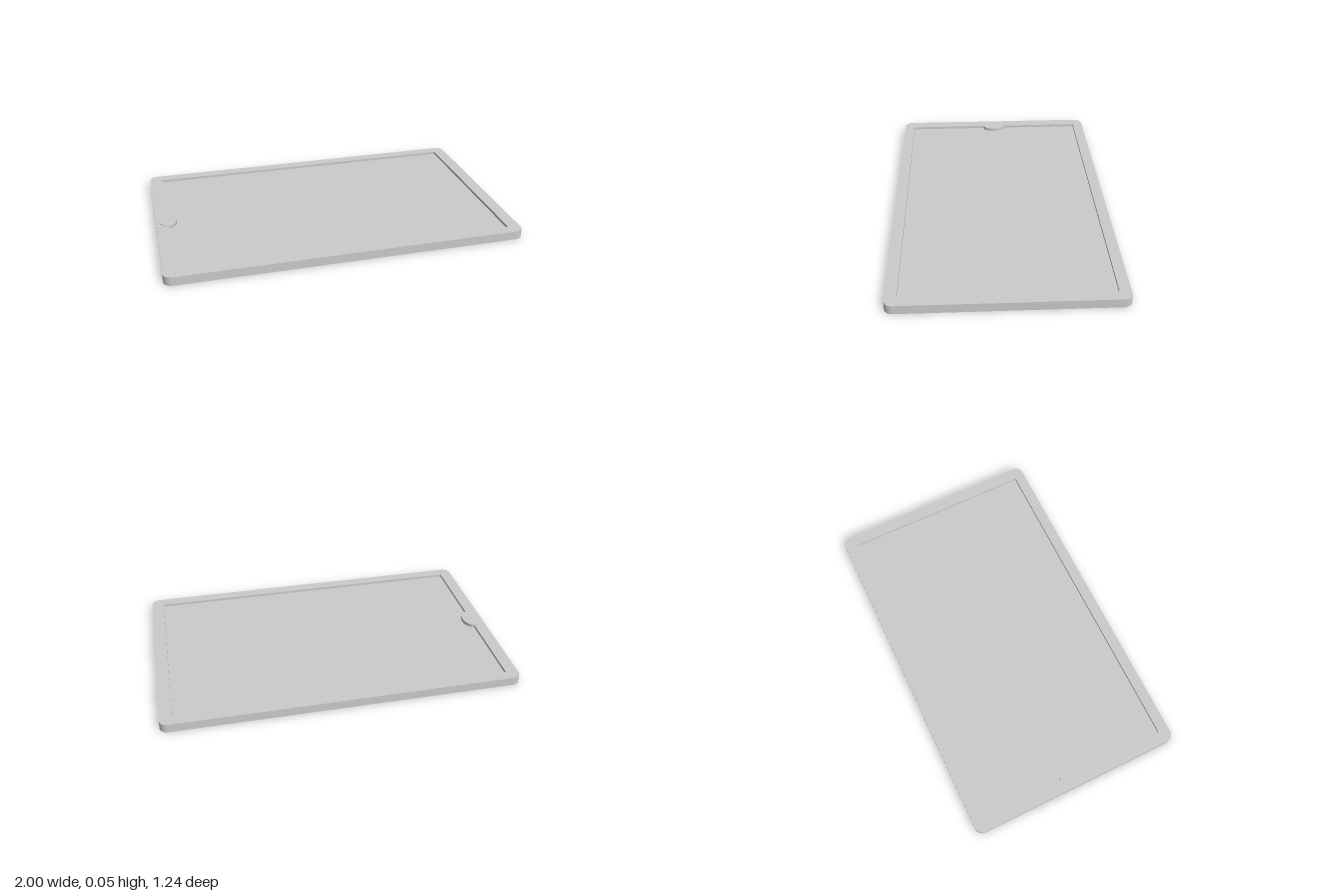
import * as THREE from 'three';

const W = 2, D = 1.24, TOP = 0.05, SCREEN_Y = 0.035;
const material = new THREE.MeshStandardMaterial({ color: 0xcccccc });

// Rounded rectangle centred on the origin
function roundedRect(Type, w, d, r) {
  const x = w / 2 - r, y = d / 2 - r, s = new Type();
  s.absarc(x, y, r, 0, Math.PI / 2);
  s.absarc(-x, y, r, Math.PI / 2, Math.PI);
  s.absarc(-x, -y, r, Math.PI, Math.PI * 1.5);
  s.absarc(x, -y, r, Math.PI * 1.5, Math.PI * 2);
  s.closePath();
  return s;
}

// Flat outline extruded upwards from y0 to y1
function slab(name, shape, y0, y1) {
  const geometry = new THREE.ExtrudeGeometry(shape, { depth: y1 - y0, bevelEnabled: false, curveSegments: 12 });
  geometry.rotateX(-Math.PI / 2).translate(0, y0, 0);
  const mesh = new THREE.Mesh(geometry, material);
  mesh.name = name;
  return mesh;
}

export function createModel() {
  const group = new THREE.Group();
  group.name = 'tablet';

  // Back shell, whose top face is the recessed screen
  group.add(slab('backShellAndScreen', roundedRect(THREE.Shape, W, D, 0.045), 0, SCREEN_Y));

  // Raised bezel around the screen
  const bezel = roundedRect(THREE.Shape, W, D, 0.045);
  bezel.holes.push(roundedRect(THREE.Path, 1.86, 1.115, 0.004));
  group.add(slab('bezel', bezel, SCREEN_Y, TOP));

  // Oval button overlapping the bezel and the screen
  const oval = new THREE.Shape();
  oval.absellipse(-0.93, 0, 0.05, 0.075, 0, Math.PI * 2);
  group.add(slab('homeButton', oval, SCREEN_Y, TOP + 0.004));

  return group;
}
